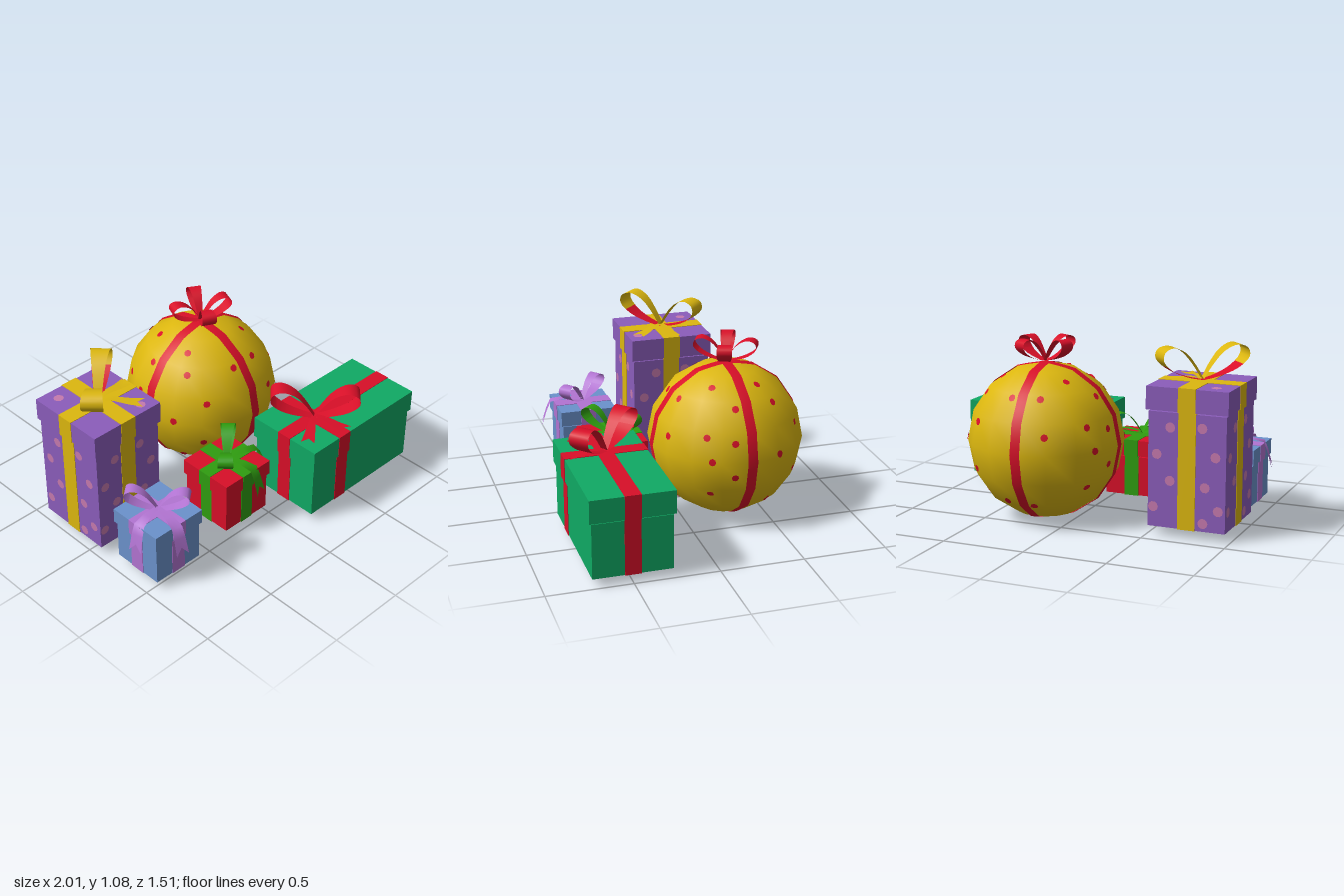
import * as THREE from 'three';

const V = (x, y, z) => new THREE.Vector3(x, y, z);
const mat = (name, color, thin) => {
  const m = new THREE.MeshStandardMaterial({ color });
  m.name = name;
  if (thin) m.side = THREE.DoubleSide;
  return m;
};

export function createModel() {
  const M = {
    yellow: mat('yellow', 0xdcb70f, true),
    red: mat('red', 0xd80f28, true),
    purple: mat('purple', 0x8b5dbb),
    pink: mat('pink', 0xc67aae, true),
    blue: mat('blue', 0x6b92cc),
    lilac: mat('lilac', 0xb274d2, true),
    teal: mat('teal green', 0x10a964),
    green: mat('leaf green', 0x2f9d10, true),
  };
  const model = new THREE.Group();
  model.name = 'presents';

  const add = (parent, name, geo, material, x = 0, y = 0, z = 0) => {
    const mesh = new THREE.Mesh(geo, material);
    mesh.name = name;
    mesh.position.set(x, y, z);
    parent.add(mesh);
    return mesh;
  };

  // Surface through rows of equally many points
  const strip = (rows) => {
    const n = rows[0].length, idx = [];
    for (let i = 0; i < rows.length - 1; i++)
      for (let j = 0; j < n - 1; j++) {
        const a = i * n + j, b = a + n;
        idx.push(a, b, a + 1, a + 1, b, b + 1);
      }
    const g = new THREE.BufferGeometry().setFromPoints(rows.flat());
    g.setIndex(idx);
    g.computeVertexNormals();
    return g;
  };

  // Row across a ribbon running along +x
  const row = (x, y, half) => [V(x, y, -half), V(x, y, 0), V(x, y, half)];

  // One bow loop, wider at its outer end; the lower leg may differ in colour
  const LOOP = new THREE.CatmullRomCurve3([
    V(0, 0.02, 0), V(0.35, 0.1, 0), V(0.75, 0.27, 0), V(0.98, 0.5, 0), V(0.95, 0.68, 0),
    V(0.74, 0.76, 0), V(0.45, 0.64, 0), V(0.2, 0.36, 0), V(0, 0.04, 0),
  ]).getPoints(24);
  const loop = (parent, size, dir, material, lower) => {
    const rows = LOOP.map((p) => row(p.x * size, p.y * size, (0.08 + 0.16 * p.x) * size));
    const g = new THREE.Group();
    g.name = 'bowLoop';
    g.rotation.y = Math.atan2(-dir[1], dir[0]);
    add(g, 'lowerLeg', strip(rows.slice(0, 8)), lower || material);
    add(g, 'upperLeg', strip(rows.slice(7)), material);
    parent.add(g);
  };

  // Ribbon tail with a notched end, lying flat or hanging over the edge
  const tail = (parent, dir, hangs, material) => {
    const len = Math.hypot(...dir);
    const path = hangs
      ? [[0, 0.02], [0.45, 0.025], [0.78, 0.01], [0.88, -0.05], [1, -0.15]]
      : [[0, 0.015], [0.35, 0.02], [0.7, 0.008], [1, 0.006]];
    const rows = path.map(([t, y]) => row(t * len, y, 0.012 + 0.028 * t));
    const end = rows[rows.length - 1], prev = rows[rows.length - 2];
    end[1].lerp(prev[1], 0.45);
    const mesh = add(parent, 'bowTail', strip(rows), material);
    mesh.rotation.y = Math.atan2(-dir[1], dir[0]);
  };

  // Gift box: body, overhanging lid, crossed ribbons, bow
  const present = (o) => {
    const g = new THREE.Group();
    g.name = o.name;
    g.position.set(o.x, 0, o.z);
    model.add(g);
    const part = (name, w, d, y0, y1) => {
      const h = y1 - y0, y = (y0 + y1) / 2, e = 0.006;
      add(g, name, new THREE.BoxGeometry(w, h, d), o.box, 0, y, 0);
      add(g, name + 'RibbonFrontBack', new THREE.BoxGeometry(o.rw, h + e, d + e), o.ribbon, o.rx, y, 0);
      add(g, name + 'RibbonSides', new THREE.BoxGeometry(w + e, h + e, o.rw), o.ribbon, 0, y, 0);
    };
    part('body', o.w - 0.025, o.d - 0.025, 0.053, o.seam - 0.006);
    part('lid', o.w, o.d, o.seam + 0.003, o.top);
    const bow = new THREE.Group();
    bow.name = 'bow';
    bow.position.set(o.rx, o.top + 0.003, 0);
    g.add(bow);
    loop(bow, o.bow, o.dir, o.ribbon, o.lower);
    loop(bow, o.bow, o.dir.map((v) => -v), o.ribbon, o.lower);
    o.tails.forEach((t) => tail(bow, t, o.hangs, o.ribbon));
    return g;
  };

  const tall = present({
    name: 'tallPurpleBox', x: -0.74, z: -0.167, w: 0.49, d: 0.515, seam: 0.732, top: 0.87,
    rw: 0.105, rx: 0, box: M.purple, ribbon: M.yellow, lower: M.red,
    bow: 0.27, dir: [0.2, -0.19], tails: [[0.17, 0.2], [0.24, -0.02]],
  });
  present({
    name: 'smallBlueBox', x: -0.772, z: 0.358, w: 0.355, d: 0.355, seam: 0.303, top: 0.4,
    rw: 0.095, rx: 0, box: M.blue, ribbon: M.lilac,
    bow: 0.19, dir: [0.11, 0.13], tails: [[-0.05, 0.26], [-0.225, 0.05]], hangs: true,
  });
  present({
    name: 'smallRedBox', x: -0.18, z: 0.315, w: 0.36, d: 0.36, seam: 0.3, top: 0.4,
    rw: 0.09, rx: 0, box: M.red, ribbon: M.green,
    bow: 0.195, dir: [0.13, -0.12], tails: [[0.06, 0.23], [0.26, 0.06]], hangs: true,
  });
  present({
    name: 'longGreenBox', x: 0.555, z: 0.5, w: 0.885, d: 0.49, seam: 0.388, top: 0.53,
    rw: 0.095, rx: -0.18, box: M.teal, ribbon: M.red,
    bow: 0.27, dir: [0.17, 0.18], tails: [[-0.22, 0.15], [0.04, 0.23]],
  });

  // Polka dots on the tall box: four walls and the lid
  const spots = [[-0.1, 0.64], [0.09, 0.65], [-0.18, 0.48], [0.17, 0.49], [-0.1, 0.33],
    [0.11, 0.31], [-0.2, 0.17], [0.19, 0.18], [0.1, 0.1]];
  const dot = new THREE.CircleGeometry(0.03, 10);
  for (let k = 0; k < 4; k++) {
    const wall = new THREE.Group();
    wall.name = 'wallDots';
    wall.rotation.y = (k * Math.PI) / 2;
    tall.add(wall);
    const out = (k % 2 ? 0.2325 : 0.245) + 0.002;
    spots.forEach(([u, y]) => add(wall, 'dot', dot, M.pink, u, y, out));
  }
  [[-0.145, -0.175], [0.15, 0.195]].forEach(([x, z]) => {
    add(tall, 'lidDot', dot, M.pink, x, 0.872, z).rotation.x = -Math.PI / 2;
  });

  // Ball present
  const R = 0.465;
  const ball = new THREE.Group();
  ball.name = 'ballPresent';
  ball.position.set(0.19, 0.47, -0.29);
  ball.rotation.y = 0.04;
  const shell = add(ball, 'ball', new THREE.SphereGeometry(R, 16, 8), M.yellow);
  const probe = new THREE.Mesh(shell.geometry, M.yellow);
  const ray = new THREE.Raycaster();
  // Point just above the ball's facets in a given direction
  const onBall = (v) => {
    const d = v.clone().normalize();
    ray.set(d.clone().multiplyScalar(2), d.clone().negate());
    const hit = ray.intersectObject(probe)[0];
    return d.multiplyScalar((hit ? hit.point.length() : R) + 0.005);
  };
  const radialNormals = (g) => {
    const p = g.attributes.position, n = g.attributes.normal, v = V(0, 0, 0);
    for (let i = 0; i < p.count; i++) {
      v.fromBufferAttribute(p, i).normalize();
      n.setXYZ(i, v.x, v.y, v.z);
    }
    return g;
  };

  // Two ribbons around the ball
  for (const turn of [0, Math.PI / 2]) {
    const rows = [];
    for (let i = 0; i <= 64; i++) {
      const a = (i / 64) * Math.PI * 2 + 0.0007;
      rows.push([0.03, 0.0007, -0.03].map((s) =>
        onBall(V(s, R * Math.cos(a), R * Math.sin(a)).applyAxisAngle(V(0, 1, 0), turn))));
    }
    add(ball, 'ballRibbon', radialNormals(strip(rows)), M.red);
  }

  // Dots on the ball, repeated on the opposite half
  const ballSpots = [[0.33, 0.31], [0.16, 0.39], [0.07, 0.3], [0.25, 0.15], [0.1, 0.12],
    [0.23, 0.01], [0.1, -0.095], [0.22, -0.215], [0.42, 0.11], [0.34, -0.34], [-0.11, 0.39],
    [-0.18, 0.3], [-0.34, 0.31], [-0.33, 0.15], [-0.18, 0.02], [-0.32, -0.135],
    [-0.15, -0.31], [-0.33, -0.31]];
  for (const side of [1, -1])
    for (const [z, y] of ballSpots) {
      const x = Math.sqrt(Math.max(0.004, R * R - z * z - y * y));
      const c = V(x * side, y, z * side).normalize();
      const g = new THREE.CircleGeometry(0.022, 8);
      g.lookAt(c);
      const p = g.attributes.position;
      for (let i = 0; i < p.count; i++) {
        const q = onBall(V(0, 0, 0).fromBufferAttribute(p, i).addScaledVector(c, R));
        p.setXYZ(i, q.x, q.y, q.z);
      }
      add(ball, 'ballDot', radialNormals(g), M.red);
    }

  // Four-loop bow on top of the ball
  const bow = new THREE.Group();
  bow.name = 'ballBow';
  bow.position.y = R + 0.002;
  [[0.1, -0.16], [-0.17, -0.08], [0.18, 0.08], [-0.09, 0.16]].forEach((d) => loop(bow, 0.19, d, M.red));
  ball.add(bow);
  model.add(ball);

  return model;
}
